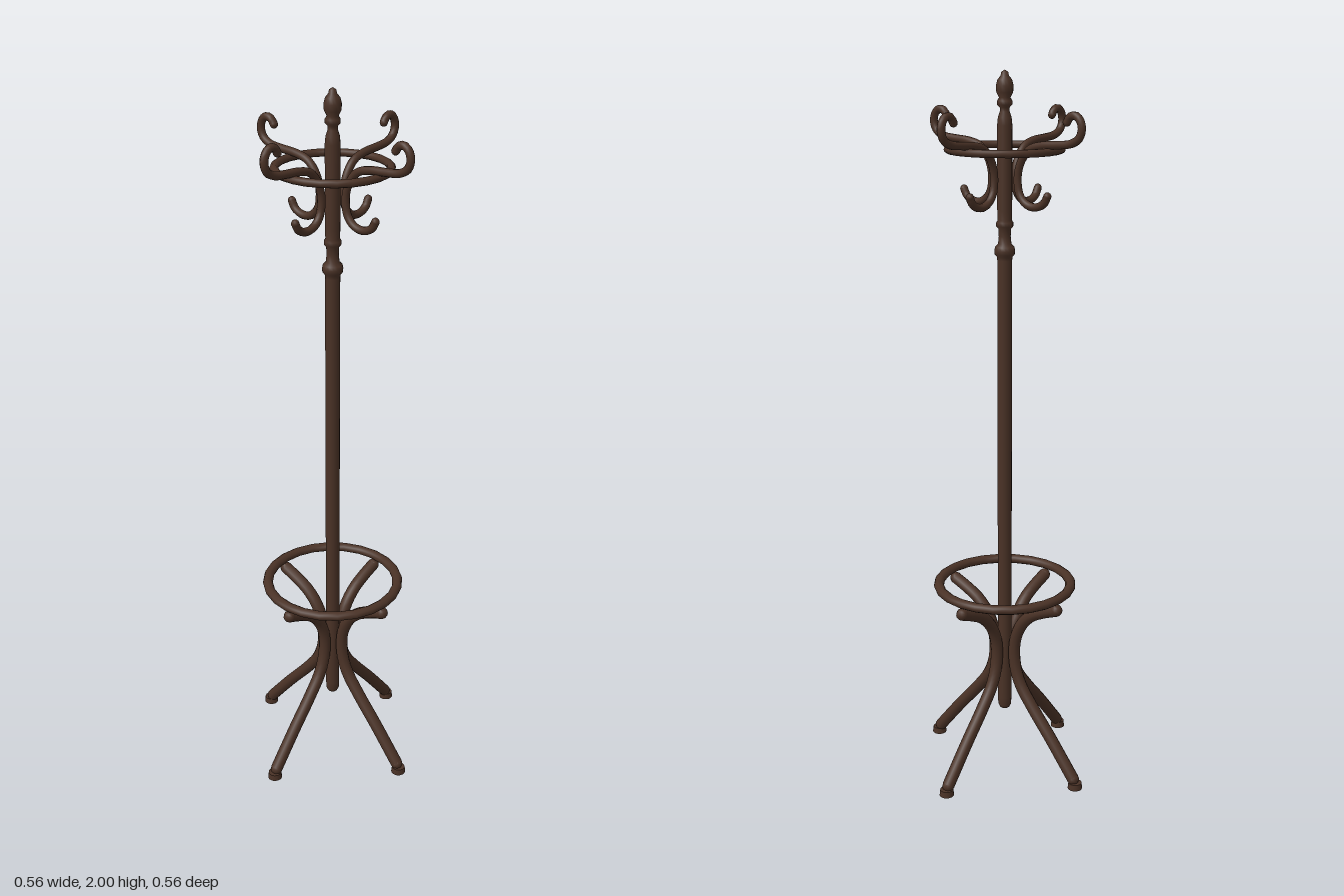
import * as THREE from 'three';

const wood = new THREE.MeshStandardMaterial({ color: 0x4a3226 });
wood.name = 'dark brown wood';

const v2 = (pts) => pts.map(([x, y]) => new THREE.Vector2(x, y));

function add(parent, name, geometry, x = 0, y = 0, z = 0) {
  const mesh = new THREE.Mesh(geometry, wood);
  mesh.name = name;
  mesh.position.set(x, y, z);
  parent.add(mesh);
  return mesh;
}

// Bent round rod in the xy plane, with rounded ends
function bentRod(parent, name, pts, radius, segments) {
  const curve = new THREE.CatmullRomCurve3(pts.map(([x, y]) => new THREE.Vector3(x, y, 0)), false, 'centripetal');
  add(parent, name, new THREE.TubeGeometry(curve, segments, radius, 10, false));
  for (const [x, y] of [pts[0], pts[pts.length - 1]]) {
    add(parent, name + 'End', new THREE.SphereGeometry(radius, 10, 8), x, y, 0);
  }
}

function ring(parent, name, radius, tube, y) {
  const geometry = new THREE.TorusGeometry(radius, tube, 10, 24);
  geometry.rotateX(Math.PI / 2);
  geometry.scale(1, 0.9, 1);
  add(parent, name, geometry, 0, y, 0);
}

export function createModel() {
  const group = new THREE.Group();
  group.name = 'coatStand';

  // Turned centre pole with collars and finial
  add(group, 'pole', new THREE.LatheGeometry(v2([
    [0, 0.172], [0.014, 0.175], [0.019, 0.185], [0.02, 0.21], [0.02, 1.505],
    [0.021, 1.515], [0.027, 1.522], [0.028, 1.532], [0.026, 1.542], [0.018, 1.55],
    [0.016, 1.57], [0.017, 1.59], [0.023, 1.597], [0.023, 1.607], [0.019, 1.613],
    [0.02, 1.64], [0.02, 1.86], [0.018, 1.88], [0.013, 1.895], [0.013, 1.905],
    [0.02, 1.912], [0.02, 1.922], [0.015, 1.93], [0.022, 1.943], [0.023, 1.96],
    [0.019, 1.975], [0.011, 1.985], [0.009, 1.994], [0, 2],
  ]), 16));

  // Umbrella ring and hook ring
  ring(group, 'umbrellaRing', 0.19, 0.0145, 0.569);
  ring(group, 'hookRing', 0.149, 0.0115, 1.799);

  // Four quarter sides, each with a leg and a hook
  for (let i = 0; i < 4; i++) {
    const side = new THREE.Group();
    side.name = 'side' + (i + 1);
    side.rotation.y = i * Math.PI / 2;
    group.add(side);

    bentRod(side, 'leg', [
      [0.187, 0.536], [0.145, 0.519], [0.1, 0.495], [0.065, 0.46], [0.043, 0.415],
      [0.036, 0.37], [0.041, 0.315], [0.06, 0.265], [0.105, 0.205], [0.17, 0.13], [0.255, 0.026],
    ], 0.0175, 36);
    add(side, 'foot', new THREE.CylinderGeometry(0.019, 0.021, 0.018, 14), 0.262, 0.009, 0);

    bentRod(side, 'hook', [
      [0.142, 1.686], [0.132, 1.668], [0.113, 1.657], [0.09, 1.655], [0.067, 1.664],
      [0.05, 1.685], [0.044, 1.712], [0.046, 1.745], [0.06, 1.778], [0.085, 1.803],
      [0.125, 1.814], [0.175, 1.818], [0.215, 1.823], [0.24, 1.837], [0.249, 1.86],
      [0.243, 1.882], [0.228, 1.893], [0.211, 1.889], [0.202, 1.876],
    ], 0.0108, 56);
  }
  return group;
}
